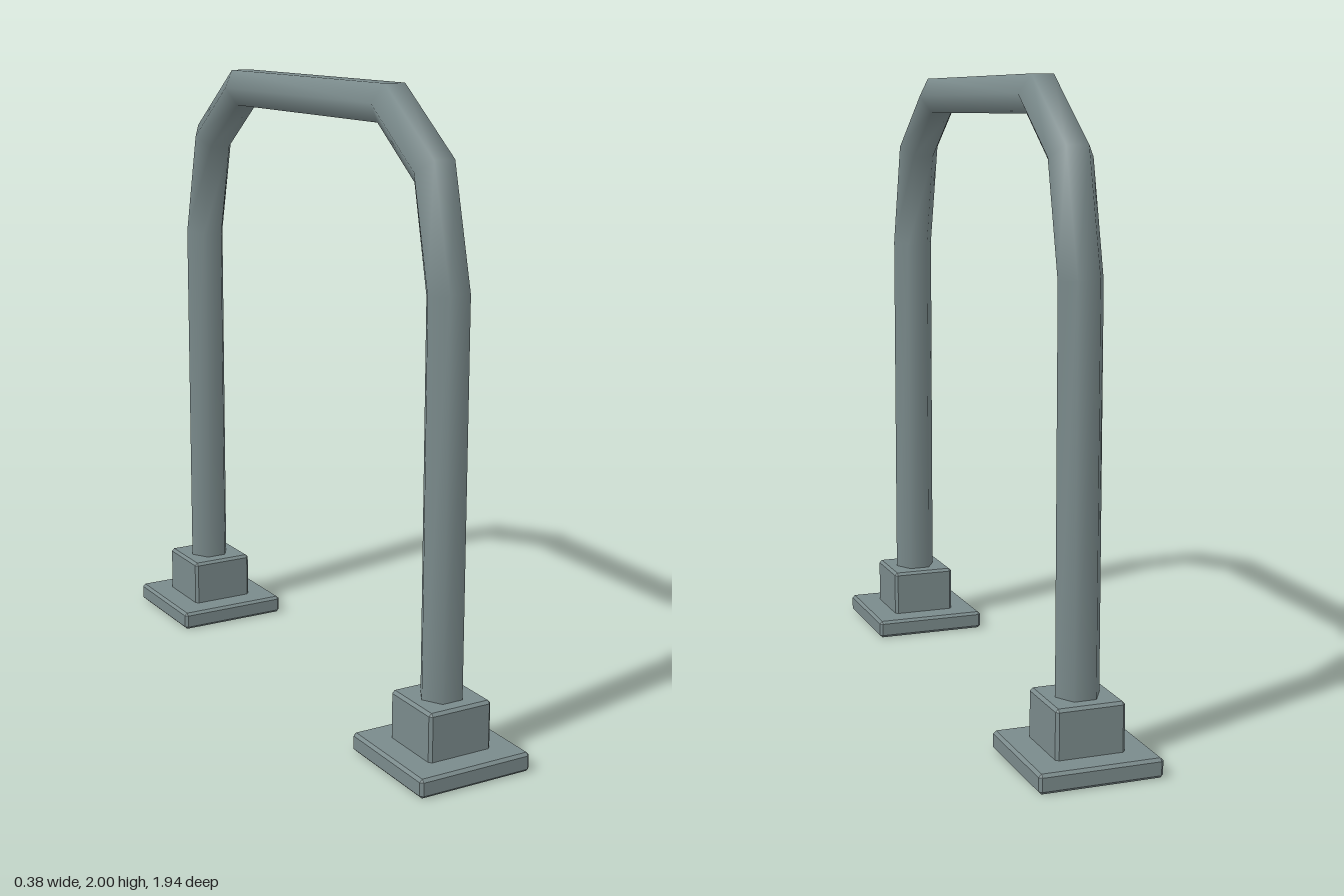
import * as THREE from 'three';
import { ConvexGeometry } from 'three/addons/geometries/ConvexGeometry.js';

// Box with every edge chamfered by c
function chamferBox(w, h, d, c) {
  const pts = [];
  for (const sx of [-1, 1]) for (const sy of [-1, 1]) for (const sz of [-1, 1]) {
    for (let axis = 0; axis < 3; axis++) {
      const half = [w / 2 - c, h / 2 - c, d / 2 - c];
      half[axis] += c;
      pts.push(new THREE.Vector3(sx * half[0], sy * half[1], sz * half[2]));
    }
  }
  return new ConvexGeometry(pts);
}

// Six-sided bent pipe, skinned over mitred rings
function pipeGeometry() {
  const sides = 6, radius = 0.07;
  // outer z, outer y, inner z, inner y for one half
  const half = [
    [0.84, 0.1, 0.72, 0.1],
    [0.84, 1.43, 0.72, 1.415],
    [0.75, 1.8, 0.65, 1.73],
    [0.485, 2, 0.447, 1.885],
  ];
  const rings = [...half, ...half.slice().reverse().map(([a, b, c, d]) => [-a, b, -c, d])];
  const pos = [], index = [];
  rings.forEach(([oz, oy, iz, iy], r) => {
    for (let s = 0; s < sides; s++) {
      const a = (s / sides) * Math.PI * 2;
      const k = 0.5 + 0.5 * Math.sin(a) / Math.sin(Math.PI / 3);
      pos.push(radius * Math.cos(a), iy + (oy - iy) * k, iz + (oz - iz) * k);
      if (r < rings.length - 1) {
        const p = r * sides + s, q = r * sides + (s + 1) % sides;
        index.push(p, p + sides, q, q, p + sides, q + sides);
      }
    }
  });
  const g = new THREE.BufferGeometry();
  g.setAttribute('position', new THREE.Float32BufferAttribute(pos, 3));
  g.setIndex(index);
  g.computeVertexNormals();
  return g;
}

export function createModel() {
  const model = new THREE.Group();
  model.name = 'hoopRail';
  const steel = new THREE.MeshStandardMaterial({ color: 0x7a8a8b });
  steel.name = 'grey steel';

  const add = (parent, name, geometry, y) => {
    const mesh = new THREE.Mesh(geometry, steel);
    mesh.name = name;
    mesh.position.y = y;
    parent.add(mesh);
  };

  add(model, 'pipe', pipeGeometry(), 0);

  // Feet: flat plate with a socket block
  const plate = chamferBox(0.385, 0.06, 0.385, 0.009);
  const socket = chamferBox(0.217, 0.175, 0.217, 0.009);
  for (const side of [1, -1]) {
    const foot = new THREE.Group();
    foot.name = side > 0 ? 'frontFoot' : 'backFoot';
    foot.position.z = side * 0.778;
    add(foot, 'basePlate', plate, 0.033);
    add(foot, 'socketBlock', socket, 0.127);
    model.add(foot);
  }
  return model;
}
